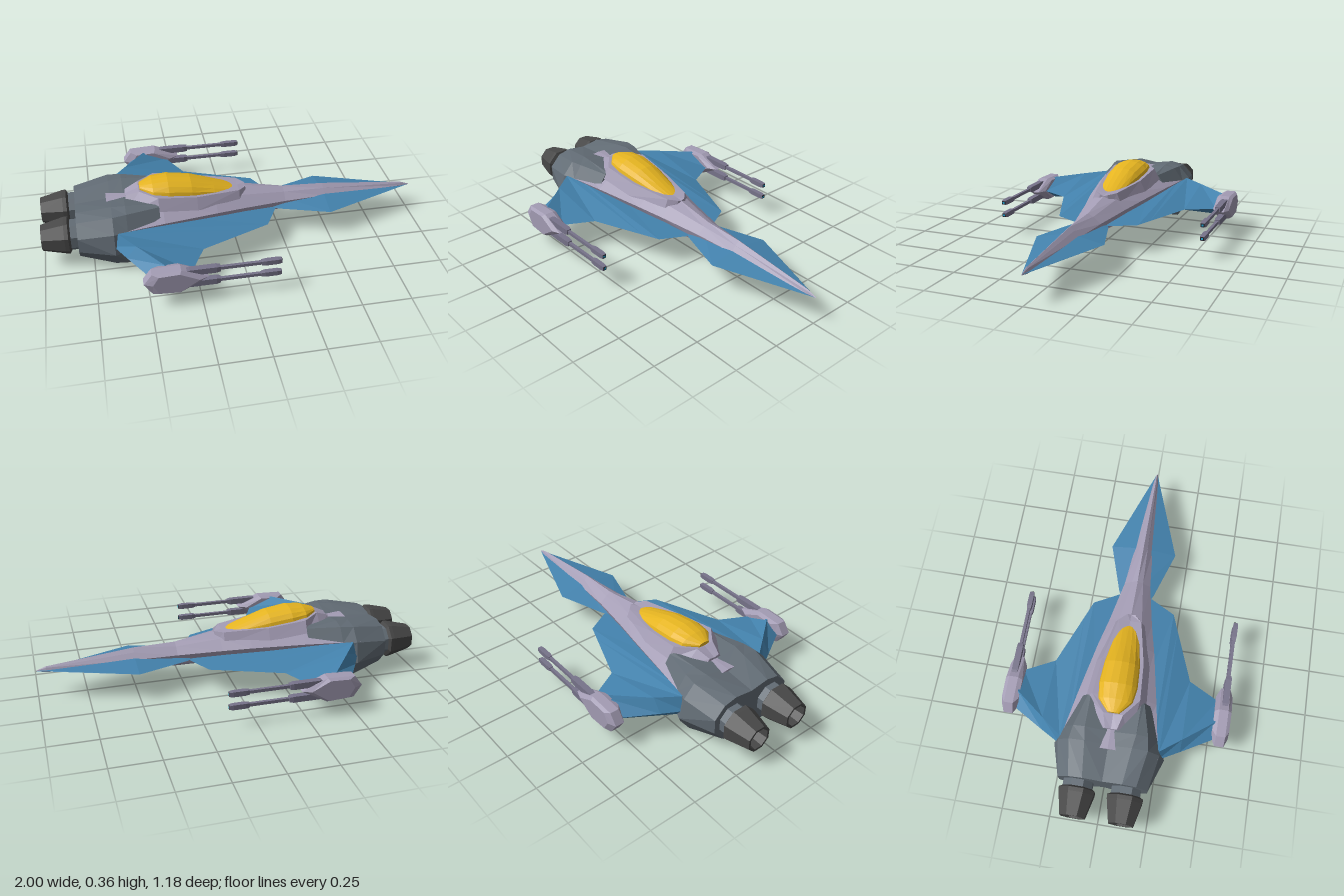
import * as THREE from 'three';

const mat = (color) => new THREE.MeshStandardMaterial({ color, flatShading: true });
const LILAC = mat(0xa39cb4), BLUE = mat(0x4382ad), GOLD = mat(0xe5b420), GREY = mat(0x626c75);
const DARK = mat(0x484848), GUN = mat(0x77738a), BLACK = mat(0x24242a), CYAN = mat(0x22a8d8);

// Skin a list of equal-length rings of [x, y, z] points, cap both ends, face outwards
function loft(rings) {
  const n = rings[0].length, m = rings.length;
  const v = rings.flat().map((p) => new THREE.Vector3(...p));
  const tris = [];
  for (let i = 0; i < m - 1; i++) {
    for (let j = 0; j < n; j++) {
      const a = i * n + j, b = i * n + (j + 1) % n;
      tris.push([a, b, b + n], [a, b + n, a + n]);
    }
  }
  for (const [start, flip] of [[0, true], [(m - 1) * n, false]]) {
    const c = new THREE.Vector3();
    for (let j = 0; j < n; j++) c.addScaledVector(v[start + j], 1 / n);
    v.push(c);
    for (let j = 0; j < n; j++) {
      const a = start + j, b = start + (j + 1) % n;
      tris.push(flip ? [b, a, v.length - 1] : [a, b, v.length - 1]);
    }
  }
  let volume = 0;
  for (const [a, b, c] of tris) volume += v[a].dot(v[b].clone().cross(v[c]));
  const index = tris.flatMap(([a, b, c]) => (volume < 0 ? [a, c, b] : [a, b, c]));
  const geo = new THREE.BufferGeometry().setFromPoints(v);
  geo.setIndex(index);
  const flat = geo.toNonIndexed();
  flat.computeVertexNormals();
  return flat;
}

// Complete a half outline of [y, z] points (top centre to bottom centre) into a ring
const symmetric = (x, half) => [
  ...half.map(([y, z]) => [x, y, z]),
  ...half.slice(1, -1).reverse().map(([y, z]) => [x, y, -z]),
];

function add(parent, name, geometry, material, x = 0, y = 0, z = 0) {
  const mesh = new THREE.Mesh(geometry, material);
  mesh.name = name;
  mesh.position.set(x, y, z);
  parent.add(mesh);
  return mesh;
}

export function createModel() {
  const ship = new THREE.Group();
  ship.name = 'starfighter';

  // Fuselage: x, top y, shoulder y/z, edge y/z, belly y/z, bottom y
  const hull = [
    [-0.66, 0.275, 0.265, 0.13, 0.215, 0.255, 0.11, 0.2, 0.078],
    [-0.38, 0.275, 0.265, 0.12, 0.212, 0.205, 0.115, 0.16, 0.077],
    [-0.1, 0.265, 0.245, 0.09, 0.2, 0.15, 0.115, 0.11, 0.077],
    [0.05, 0.258, 0.235, 0.06, 0.188, 0.115, 0.115, 0.085, 0.078],
    [0.28, 0.22, 0.205, 0.03, 0.172, 0.07, 0.12, 0.055, 0.08],
    [0.5, 0.214, 0.195, 0.022, 0.165, 0.05, 0.125, 0.04, 0.1],
    [0.95, 0.165, 0.16, 0.006, 0.148, 0.012, 0.14, 0.01, 0.133],
    [1, 0.147, 0.146, 0.001, 0.145, 0.002, 0.144, 0.001, 0.143],
  ];
  add(ship, 'fuselage', loft(hull.map(([x, t, sy, sz, ey, ez, by, bz, b]) =>
    symmetric(x, [[t, 0], [sy, sz], [ey, ez], [by, bz], [b, 0]]))), LILAC);

  // Nose fins: one flat diamond running through the nose
  const nose = [[0.2, 0.075, 0.02], [0.24, 0.095, 0.025], [0.5, 0.178, 0.035], [0.995, 0.003, 0.002]];
  add(ship, 'noseFins', loft(nose.map(([x, w, h]) =>
    symmetric(x, [[0.145 + h, 0], [0.145, w], [0.145 - h, 0]]))), BLUE);

  // Canopy and its frame: x, base y, top y, half width
  const glass = [
    [0.01, 0.254, 0.262, 0.045], [-0.1, 0.265, 0.3, 0.075], [-0.22, 0.28, 0.342, 0.094],
    [-0.34, 0.297, 0.359, 0.101], [-0.42, 0.31, 0.351, 0.088], [-0.485, 0.322, 0.332, 0.03],
  ];
  add(ship, 'canopy', loft(glass.map(([x, base, top, w]) => {
    const half = [0, 1, 2, 3, 4].map((i) => {
      const a = (i / 4) * Math.PI / 2;
      return [base + (top - base) * Math.cos(a), w * Math.sin(a)];
    });
    return symmetric(x, [...half, [base - 0.03, w], [base - 0.03, 0]]);
  })), GOLD);
  const frame = [
    [0.07, 0.262, 0.02, 0.04], [0.03, 0.268, 0.06, 0.085], [-0.2, 0.285, 0.108, 0.14],
    [-0.4, 0.312, 0.122, 0.155], [-0.49, 0.318, 0.05, 0.11], [-0.56, 0.29, 0.03, 0.08],
  ];
  add(ship, 'canopyFrame', loft(frame.map(([x, y, w, wb]) =>
    symmetric(x, [[y - 0.006, 0], [y, w], [y - 0.06, wb], [0.2, 0]]))), LILAC);

  for (const s of [1, -1]) {
    const side = new THREE.Group();
    side.name = s > 0 ? 'leftSide' : 'rightSide';
    ship.add(side);
    const mirror = (rings) => rings.map((r) => r.map(([x, y, z]) => [x, y, z * s]));

    // Wing: z, rear x, ridge x, front x, top y, bottom y
    const wing = [
      [0.05, -0.64, -0.45, 0.235, 0.205, 0.11], [0.09, -0.64, -0.5, 0.22, 0.207, 0.11],
      [0.22, -0.65, -0.6, 0.15, 0.218, 0.11], [0.255, -0.648, -0.62, 0.06, 0.217, 0.108],
      [0.36, -0.59, -0.54, -0.21, 0.211, 0.096], [0.515, -0.5, -0.42, -0.29, 0.2, 0.078],
    ];
    add(side, 'wing', loft(mirror(wing.map(([z, r, m, f, t, b]) =>
      [[r, 0.145, z], [m, t, z], [f, 0.145, z], [m, b, z]]))), BLUE);

    // Engine housing: half outlines of [y, z]
    const housing = [
      [-0.82, [[0.25, 0], [0.265, 0.1], [0.25, 0.17], [0.19, 0.228], [0.11, 0.225], [0.04, 0.165], [0.035, 0.08], [0.09, 0]]],
      [-0.64, [[0.265, 0], [0.29, 0.12], [0.28, 0.2], [0.215, 0.26], [0.11, 0.287], [0.01, 0.22], [0.01, 0.075], [0.075, 0]]],
      [-0.57, [[0.27, 0], [0.295, 0.13], [0.283, 0.19], [0.212, 0.24], [0.11, 0.255], [0, 0.215], [0, 0.075], [0.075, 0]]],
      [-0.4, [[0.26, 0], [0.282, 0.13], [0.275, 0.145], [0.21, 0.19], [0.12, 0.16], [0.085, 0.13], [0.08, 0.06], [0.08, 0]]],
    ];
    add(side, 'engineHousing', loft(mirror(housing.map(([x, half]) =>
      half.map(([y, z]) => [x, y, z])))), GREY);

    // Exhaust: collar and hollow tapered nozzle, pointing backwards
    const collar = add(side, 'exhaustCollar', new THREE.CylinderGeometry(0.08, 0.08, 0.08, 8), GREY, -0.83, 0.15, s * 0.122);
    const profile = [[0.08, 0], [0.098, 0.01], [0.096, 0.03], [0.068, 0.145], [0.056, 0.145], [0.05, 0.09], [0, 0.09]];
    const nozzle = add(side, 'nozzle', new THREE.LatheGeometry(
      profile.map(([r, y]) => new THREE.Vector2(r, y)), 8), DARK, -0.855, 0.15, s * 0.122);
    for (const part of [collar, nozzle]) part.rotation.set(0, 0, Math.PI / 2);
    for (const part of [collar, nozzle]) part.rotateY(Math.PI / 8);

    // Wingtip gun pod: bevelled hexagonal plate, z and outline scale
    const outline = [[-0.53, 0.145], [-0.49, 0.2], [-0.35, 0.205], [-0.22, 0.15], [-0.35, 0.078], [-0.49, 0.085]];
    const layers = [[0.505, 0.7], [0.528, 1], [0.575, 1], [0.592, 0.72]];
    add(side, 'gunPod', loft(mirror(layers.map(([z, k]) => outline.map(([x, y]) =>
      [-0.38 + (x + 0.38) * k, 0.142 + (y - 0.142) * (k < 1 ? 0.85 : 1), z])))), LILAC);

    // Twin guns: x start, x end, radius
    const rods = [['gunBreech', -0.33, -0.16, 0.016], ['gunBarrel', -0.16, 0.05, 0.008], ['gunMuzzle', 0.04, 0.14, 0.013]];
    for (const y of [0.18, 0.11]) {
      const gun = new THREE.Group();
      gun.name = y > 0.15 ? 'upperGun' : 'lowerGun';
      gun.position.set(0, y, s * 0.556);
      side.add(gun);
      for (const [name, a, b, r] of rods) {
        const taper = name === 'gunBarrel' ? 1 : 0.8;
        add(gun, name, loft([[a, r * taper], [a + 0.02, r], [b - 0.02, r], [b, r * taper]].map(([x, q]) =>
          [[x, q, q], [x, q, -q], [x, -q, -q], [x, -q, q]])), GUN);
      }
      add(gun, 'muzzleRim', new THREE.BoxGeometry(0.004, 0.018, 0.018), BLACK, 0.14);
      add(gun, 'muzzleGlow', new THREE.BoxGeometry(0.004, 0.01, 0.01), CYAN, 0.141);
    }
  }
  return ship;
}
